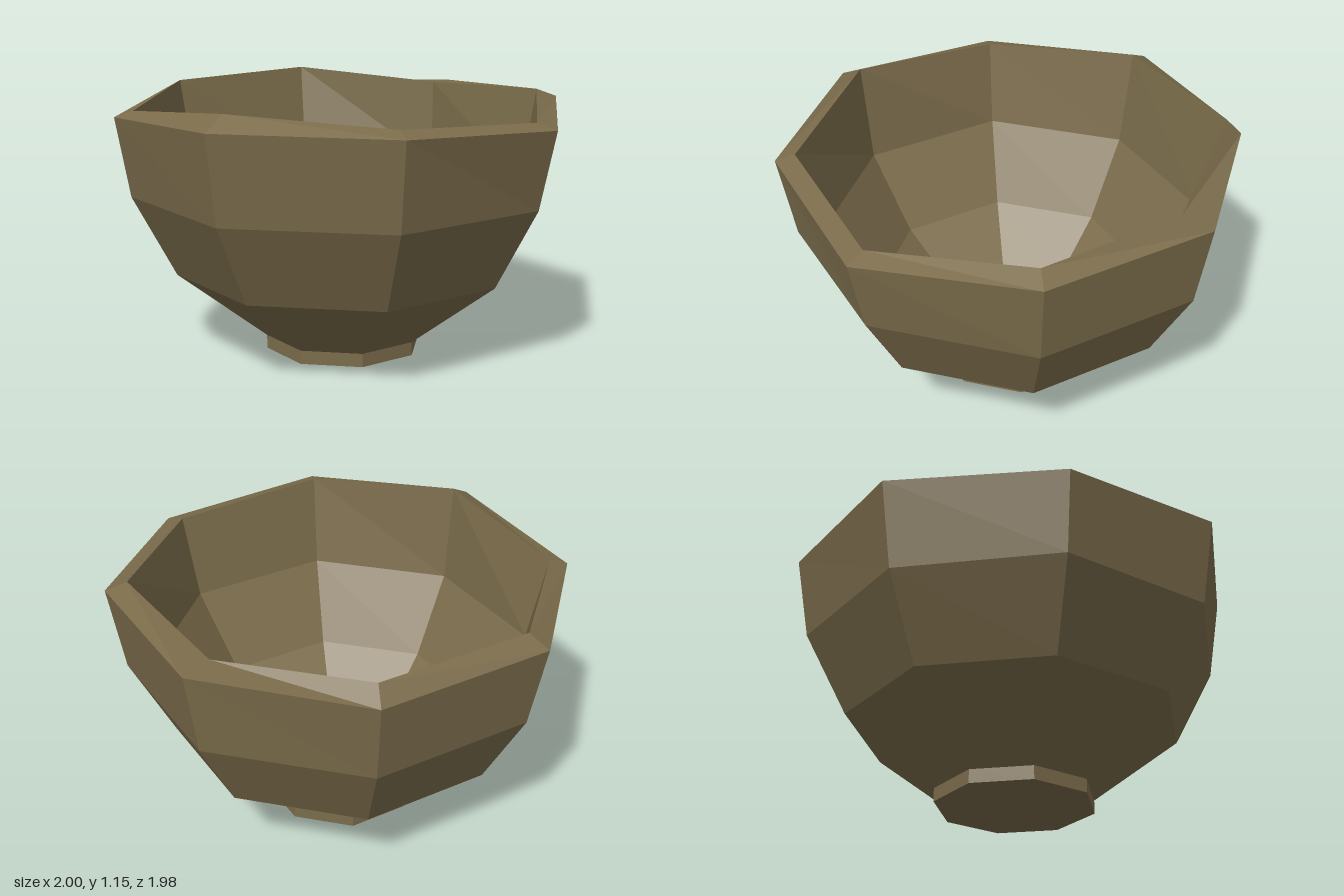
import * as THREE from 'three';

const SIDES = 8;

// Level octagonal ring with corners on the x and z axes
function ring(radius, y) {
  return Array.from({ length: SIDES }, (_, k) => {
    const a = (k / SIDES) * Math.PI * 2;
    return [radius * Math.cos(a), y, radius * Math.sin(a)];
  });
}

// Uneven ring: one radius and one height per corner
function unevenRing(radii, heights) {
  return ring(1, 0).map(([x, , z], k) => [x * radii[k], heights[k], z * radii[k]]);
}

// Flat-faced skin through a list of rings
function loft(name, rings, material) {
  const points = [];
  for (let i = 0; i < rings.length - 1; i++) {
    for (let k = 0; k < SIDES; k++) {
      const n = (k + 1) % SIDES;
      const a = rings[i][k], b = rings[i][n];
      const d = rings[i + 1][k], c = rings[i + 1][n];
      points.push(...a, ...d, ...c, ...a, ...c, ...b);
    }
  }
  const geometry = new THREE.BufferGeometry();
  geometry.setAttribute('position', new THREE.Float32BufferAttribute(points, 3));
  geometry.computeVertexNormals();
  const mesh = new THREE.Mesh(geometry, material);
  mesh.name = name;
  return mesh;
}

export function createModel() {
  const group = new THREE.Group();
  group.name = 'bowl';
  const clay = new THREE.MeshStandardMaterial({ color: 0x7b6c4b });
  clay.name = 'brown clay';

  // Wavy lip: corners run from +x through +z, -x and -z
  const outerLip = unevenRing(
    [1, 0.99, 0.99, 0.99, 1, 0.99, 0.99, 0.99],
    [1.055, 1.09, 1.095, 1.065, 1.09, 1.08, 1.095, 1.095]);
  const innerLip = unevenRing(
    [0.91, 0.905, 0.875, 0.91, 0.905, 0.92, 0.84, 0.895],
    [1.08, 1.115, 1.155, 1.09, 1.137, 1.153, 1.1, 1.13]);

  group.add(
    // Foot with closed underside
    loft('foot', [ring(0, 0), ring(0.352, 0), ring(0.352, 0.06)], clay),
    // Outside of the bowl
    loft('outerWall', [ring(0.352, 0.06), ring(0.745, 0.365), ring(0.93, 0.72), outerLip], clay),
    loft('rim', [outerLip, innerLip], clay),
    // Inside of the bowl down to the flat floor
    loft('innerWall', [innerLip, ring(0.83, 0.71), ring(0.62, 0.37), ring(0.37, 0.155)], clay),
    loft('floor', [ring(0.37, 0.155), ring(0, 0.155)], clay),
  );
  return group;
}
